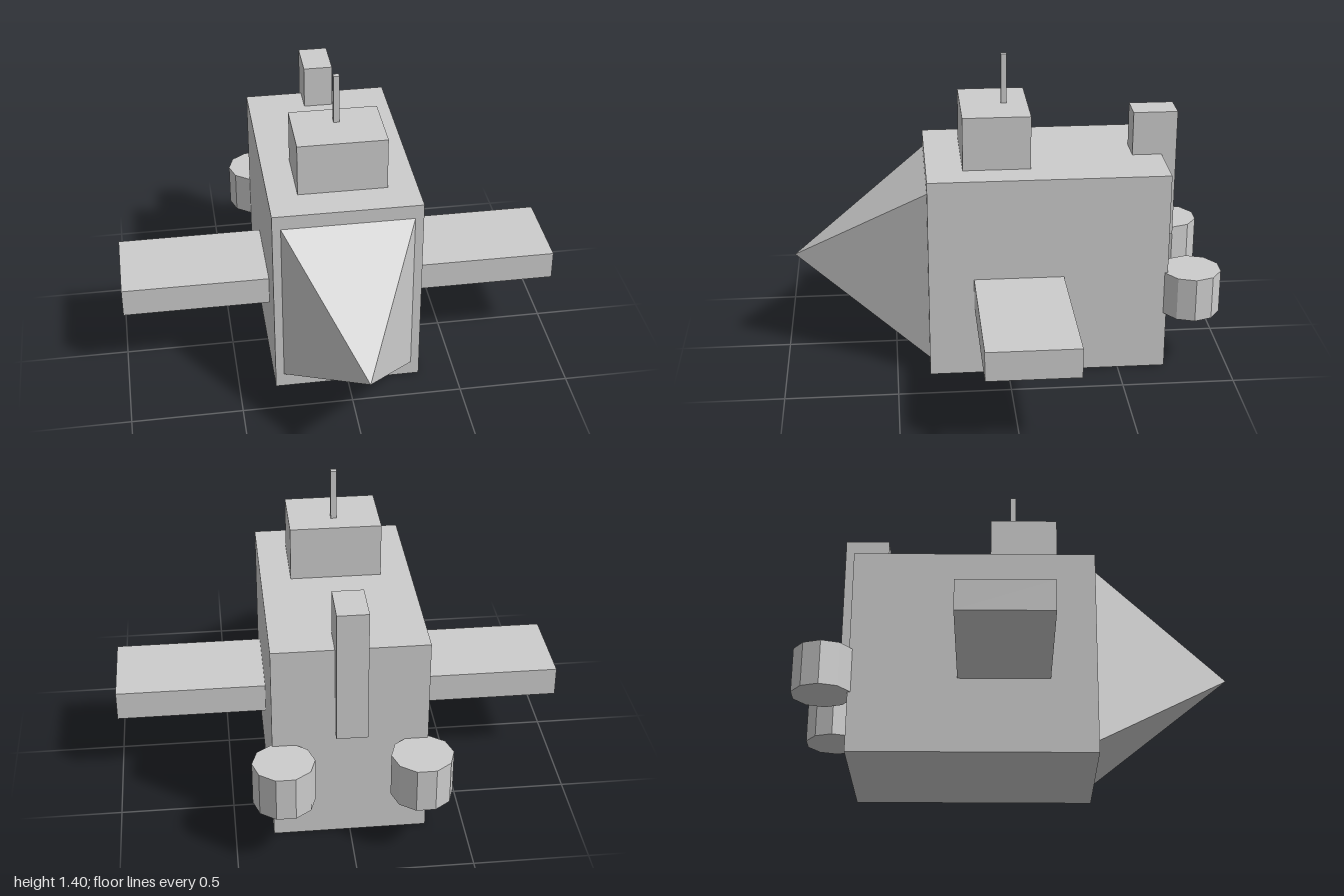
import * as THREE from 'three';

export function createModel() {
  const model = new THREE.Group();
  model.name = 'blockSpaceship';
  const hull = new THREE.MeshStandardMaterial({ color: 0xcccccc, flatShading: true });
  hull.name = 'hullGrey';

  function add(name, geometry, x, y, z) {
    const mesh = new THREE.Mesh(geometry, hull);
    mesh.name = name;
    mesh.position.set(x, y, z);
    model.add(mesh);
    return mesh;
  }

  // Box given by its lower and upper corners
  function box(name, [x0, y0, z0], [x1, y1, z1]) {
    const geometry = new THREE.BoxGeometry(x1 - x0, y1 - y0, z1 - z0);
    return add(name, geometry, (x0 + x1) / 2, (y0 + y1) / 2, (z0 + z1) / 2);
  }

  // Hull, cabin, antenna and tail fin
  box('body', [-0.333, 0, -0.714], [0.333, 0.933, 0.353]);
  box('cabin', [-0.2, 0.933, -0.11], [0.2, 1.176, 0.191]);
  box('antenna', [-0.013, 1.176, -0.018], [0.013, 1.403, 0.008]);
  box('tailFin', [-0.067, 0.535, -0.78], [0.067, 1.134, -0.581]);

  // Four-sided pyramid nose pointing forward
  const nose = new THREE.ConeGeometry(Math.SQRT1_2, 0.6, 4);
  nose.rotateY(Math.PI / 4).rotateX(Math.PI / 2).scale(0.59, 0.8, 1);
  add('nose', nose, 0, 0.467, 0.653);

  // Mirrored wings and upright ten-sided thrusters
  for (const [side, s] of [['left', 1], ['right', -1]]) {
    const wing = new THREE.BoxGeometry(0.667, 0.133, 0.4);
    add(side + 'Wing', wing, s * 0.6665, 0.4, -0.048);

    const thruster = new THREE.CylinderGeometry(0.133, 0.133, 0.2, 10);
    thruster.rotateY(Math.PI / 2);
    add(side + 'Thruster', thruster, s * 0.293, 0.368, -0.827);
  }
  return model;
}
